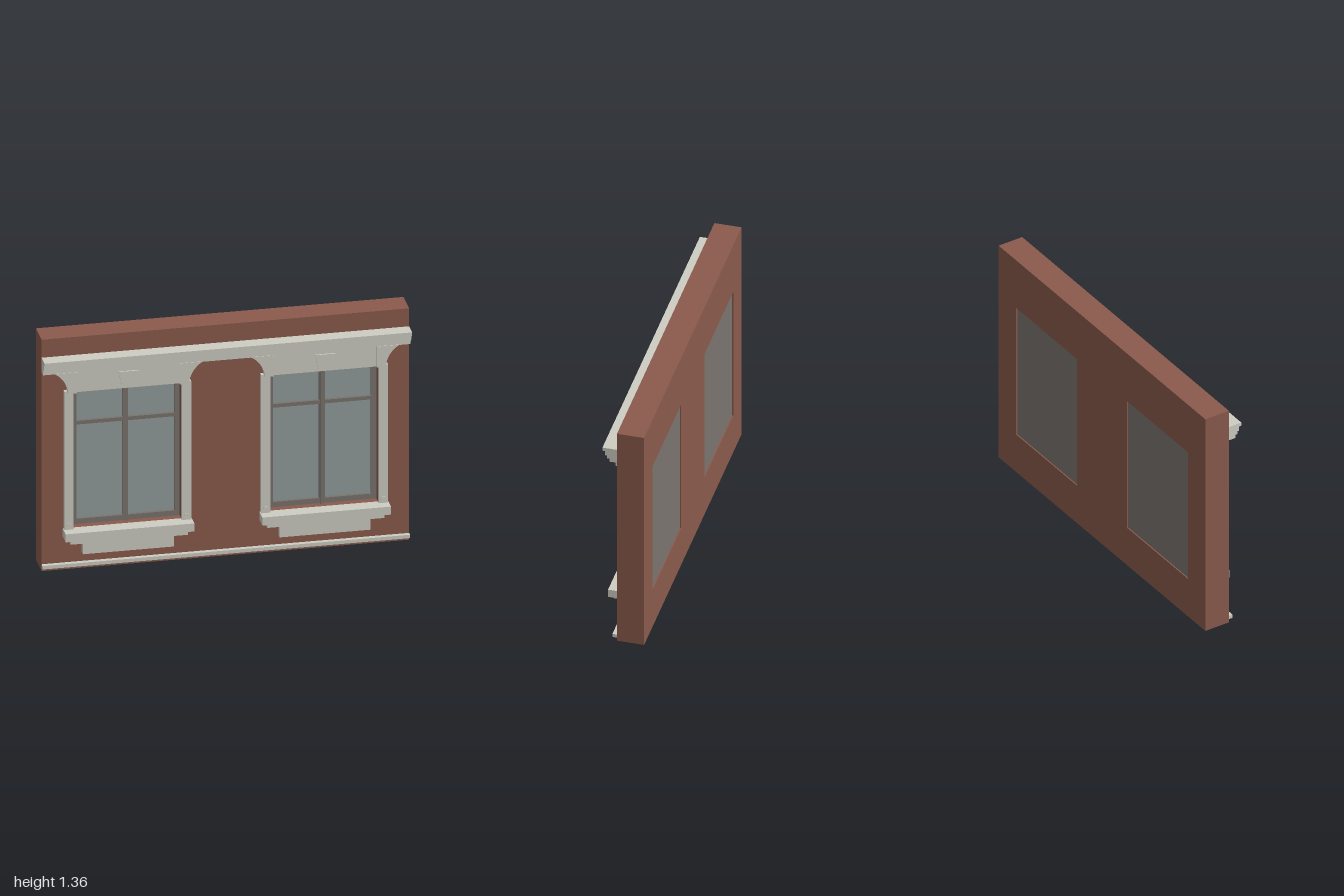
import * as THREE from 'three';

const flat = (name, color) => {
  const m = new THREE.MeshStandardMaterial({ color });
  m.name = name;
  return m;
};

export function createModel() {
  const brick = flat('brick red', 0x8a5a4c);
  const stone = flat('pale stone', 0xcecdc3);
  const wood = flat('grey window wood', 0x7a746f);
  const pane = flat('window glass', 0x929d9d);

  const model = new THREE.Group();
  model.name = 'facadeSection';
  const FRONT = 0.035, BACK = -0.115;

  const add = (parent, name, geometry, material) => {
    const mesh = new THREE.Mesh(geometry, material);
    mesh.name = name;
    parent.add(mesh);
    return mesh;
  };
  // Box given by its limits on each axis
  const block = (parent, name, mat, x0, x1, y0, y1, z0, z1) =>
    add(parent, name, new THREE.BoxGeometry(x1 - x0, y1 - y0, z1 - z0), mat)
      .position.set((x0 + x1) / 2, (y0 + y1) / 2, (z0 + z1) / 2);
  const poly = (points) => new THREE.Shape(points.map(([x, y]) => new THREE.Vector2(x, y)));
  const rect = (x0, x1, y0, y1) => poly([[x0, y0], [x1, y0], [x1, y1], [x0, y1]]);
  // Shape in x, y pushed from z0 to z1
  const slab = (parent, name, mat, shape, z0, z1) => {
    const g = new THREE.ExtrudeGeometry(shape, { depth: z1 - z0, bevelEnabled: false, curveSegments: 10 });
    return add(parent, name, g.translate(0, 0, z0), mat);
  };

  const CX = 0.535, HALF = 0.295, SILL = 0.24, HEAD = 1.05;

  // Wall with two window openings
  const wall = rect(-1, 1, 0, 1.355);
  for (const s of [-1, 1]) wall.holes.push(rect(s * CX - HALF, s * CX + HALF, SILL, HEAD));
  slab(model, 'wall', brick, wall, BACK, FRONT);

  // Stepped cornice: profile in (z, y), run along x
  const cornice = poly([
    [FRONT, 1.165], [0.077, 1.165], [0.077, 1.185], [0.089, 1.185], [0.089, 1.203],
    [0.1, 1.203], [0.1, 1.23], [0.115, 1.23], [0.115, 1.25], [FRONT, 1.25],
  ]);
  const run = new THREE.ExtrudeGeometry(cornice, { depth: 2, bevelEnabled: false });
  add(model, 'cornice', run.translate(0, 0, -1).rotateY(-Math.PI / 2).scale(1, 1, 1), stone);

  // The turn above sends profile z to +z and the run to x
  block(model, 'baseMoulding', stone, -1, 1, 0.02, 0.04, FRONT, 0.06);

  const buildWindow = () => {
    const w = new THREE.Group();

    // Timber frame with four lights
    const frame = rect(-HALF, HALF, SILL, HEAD);
    for (const [x0, x1] of [[-0.267, -0.015], [0.015, 0.267]])
      for (const [y0, y1] of [[0.27, 0.822], [0.843, 1.033]]) frame.holes.push(rect(x0, x1, y0, y1));
    slab(w, 'windowFrame', wood, frame, -0.03, -0.005);
    block(w, 'centreMullion', wood, -0.012, 0.012, SILL, HEAD, -0.01, 0.004);
    block(w, 'glass', pane, -0.28, 0.28, 0.25, 1.04, -0.027, -0.022);
    block(w, 'backPanel', wood, -HALF, HALF, SILL, HEAD, -0.108, -0.1);

    // Stone surround
    for (const s of [-1, 1]) {
      const [a, b] = s < 0 ? [-0.345, -HALF] : [HALF, 0.345];
      block(w, 'jamb', stone, a, b, SILL, HEAD, FRONT, 0.06);
      const boss = add(w, 'jambBoss', new THREE.CylinderGeometry(0.016, 0.016, 0.01, 16), stone);
      boss.rotation.x = Math.PI / 2;
      boss.position.set((a + b) / 2, 0.262, 0.06);

      // Bracket with a hollow outer edge, sweeping out to the cornice
      const bracket = new THREE.Shape();
      bracket.moveTo(s * 0.28, 1.045);
      bracket.lineTo(s * 0.33, 1.045);
      bracket.lineTo(s * 0.33, 1.06);
      bracket.bezierCurveTo(s * 0.337, 1.1, s * 0.362, 1.145, s * 0.405, 1.168);
      bracket.lineTo(s * 0.28, 1.168);
      slab(w, 'bracket', stone, bracket, FRONT, 0.08);
    }
    block(w, 'lintel', stone, -0.28, 0.28, HEAD, 1.168, FRONT, 0.076);
    slab(w, 'keystone', stone, poly([[-0.038, 1.068], [0.038, 1.068], [0.055, 1.15], [-0.055, 1.15]]), 0.07, 0.084);

    // Sill, its moulding and the apron below
    block(w, 'sill', stone, -0.35, 0.35, 0.193, SILL, FRONT, 0.115);
    block(w, 'sillMoulding', stone, -0.319, 0.319, 0.167, 0.193, FRONT, 0.094);
    block(w, 'apron', stone, -0.247, 0.247, 0.095, 0.167, FRONT, 0.072);
    return w;
  };

  for (const s of [-1, 1]) {
    const w = buildWindow();
    w.name = s < 0 ? 'rightWindow' : 'leftWindow';
    w.position.x = s * CX;
    model.add(w);
  }
  return model;
}
